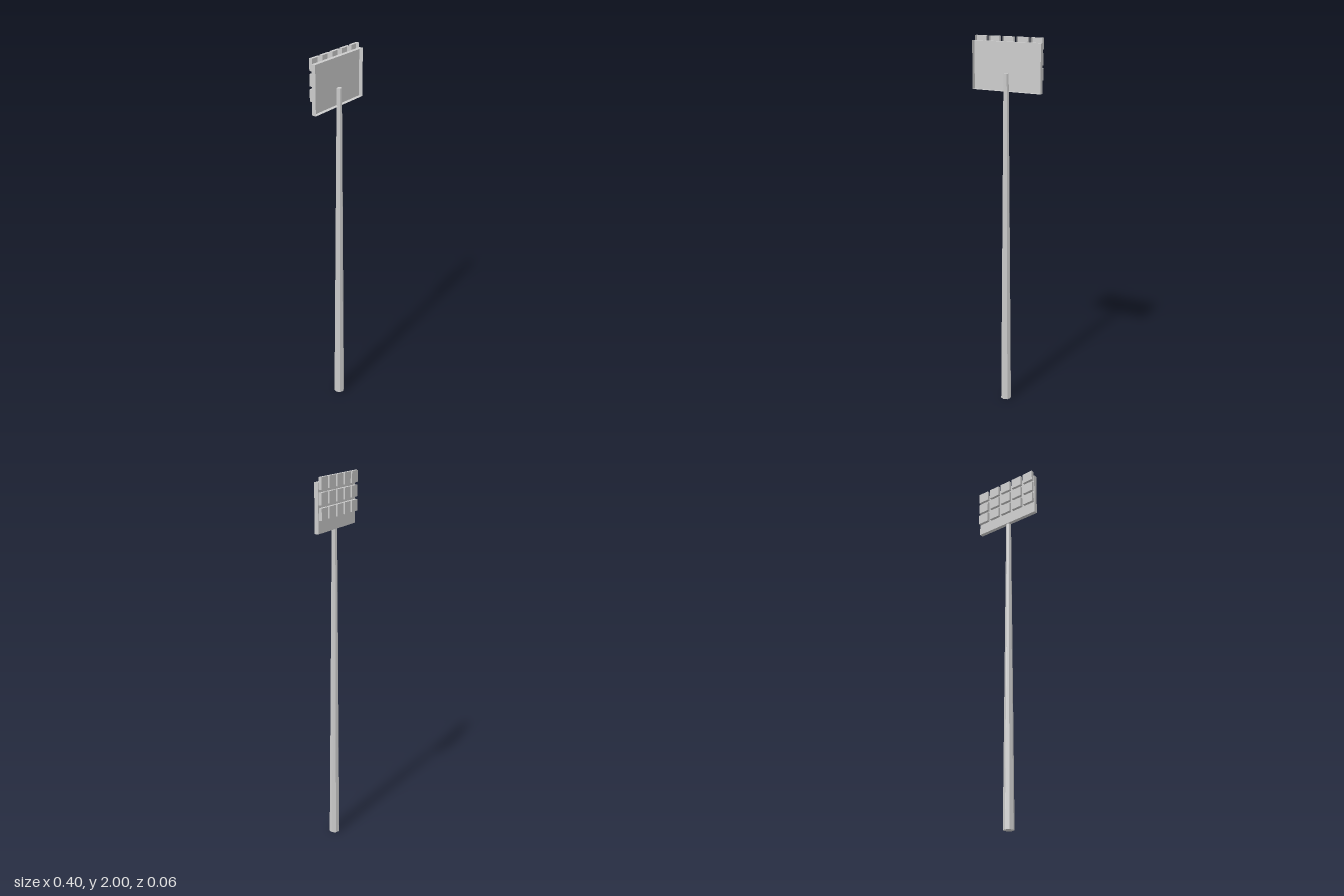
import * as THREE from 'three';

const material = new THREE.MeshStandardMaterial({
  color: 0xcccccc, flatShading: true, side: THREE.DoubleSide,
});

// Shallow thin-walled tray, open towards +z
function tray(name, width, height, depth) {
  const geometry = new THREE.BoxGeometry(width, height, depth);
  const index = Array.from(geometry.index.array);
  index.splice(24, 6); // drop the +z face
  geometry.setIndex(index);
  geometry.clearGroups();
  const mesh = new THREE.Mesh(geometry, material);
  mesh.name = name;
  return mesh;
}

export function createModel() {
  const model = new THREE.Group();
  model.name = 'floodlightMast';

  // Tapered eight-sided pole
  const poleHeight = 1.82;
  const pole = new THREE.Mesh(
    new THREE.CylinderGeometry(0.0135, 0.0285, poleHeight, 8), material);
  pole.name = 'pole';
  pole.position.set(0, poleHeight / 2, 0.0025);
  model.add(pole);

  // Panel holding the lamps, hollow on the pole side
  const panel = tray('lampPanel', 0.395, 0.245, 0.021);
  panel.position.set(0, 1.853, -0.0045);
  model.add(panel);

  // Three rows of five lamps on the back of the panel
  const lamps = new THREE.Group();
  lamps.name = 'lamps';
  for (let row = 0; row < 3; row++) {
    for (let col = 0; col < 5; col++) {
      const lamp = tray('lamp', 0.064, 0.059, 0.016);
      lamp.position.set((col - 2) * 0.0805, 1.9705 - row * 0.073, -0.0235);
      lamps.add(lamp);
    }
  }
  model.add(lamps);

  return model;
}
